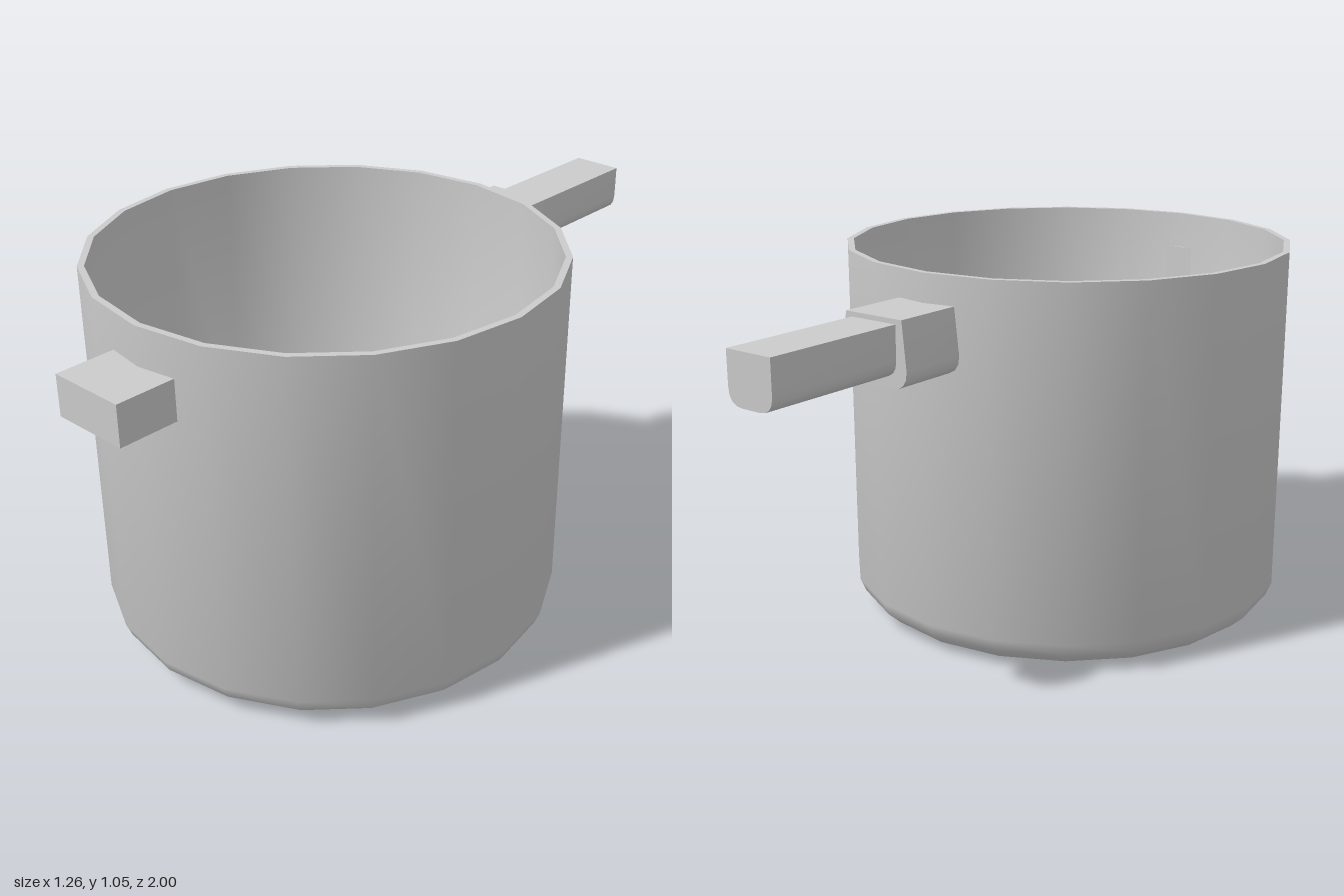
import * as THREE from 'three';
import { toCreasedNormals } from 'three/addons/utils/BufferGeometryUtils.js';

const material = new THREE.MeshStandardMaterial({ color: 0xcccccc });
const CENTER_Z = 0.22;

function addPart(group, name, geometry) {
  const mesh = new THREE.Mesh(toCreasedNormals(geometry, 0.7), material);
  mesh.name = name;
  group.add(mesh);
  return mesh;
}

// Bar along z with a flat top, rounded lower corners and slightly tapered sides
function roundedBar(topHalf, half, bottom, top, radius, zBack, zFront) {
  const s = new THREE.Shape();
  s.moveTo(-topHalf, top);
  s.lineTo(-half, bottom + radius);
  s.quadraticCurveTo(-half, bottom, -half + radius, bottom);
  s.lineTo(half - radius, bottom);
  s.quadraticCurveTo(half, bottom, half, bottom + radius);
  s.lineTo(topHalf, top);
  s.closePath();
  const g = new THREE.ExtrudeGeometry(s, { depth: zFront - zBack, bevelEnabled: false, curveSegments: 4 });
  return g.translate(0, 0, zBack);
}

export function createModel() {
  const model = new THREE.Group();
  model.name = 'saucepan';

  // Pot: one closed profile, up the outside, over the rim and down the inside
  const profile = [
    [0, 0], [0.53, 0.003], [0.58, 0.016], [0.615, 0.048], [0.63, 0.085], [0.63, 1.055],
    [0.612, 1.055], [0.612, 0.09], [0.598, 0.058], [0.57, 0.034], [0.525, 0.02], [0, 0.02],
  ].map(([x, y]) => new THREE.Vector2(x, y));
  const pot = addPart(model, 'pot', new THREE.LatheGeometry(profile, 20));
  pot.position.z = CENTER_Z;

  // Long handle at the back: collar against the wall, slimmer grip behind it
  addPart(model, 'handleCollar', roundedBar(0.092, 0.105, 0.8, 0.977, 0.05, -0.592, -0.392));
  addPart(model, 'handleGrip', roundedBar(0.072, 0.072, 0.829, 0.964, 0.045, -1, -0.58));

  // Short helper grip at the front
  const grip = new THREE.BoxGeometry(0.22, 0.112, 0.175);
  addPart(model, 'frontGrip', grip.translate(0, 0.893, 0.9125));

  return model;
}
